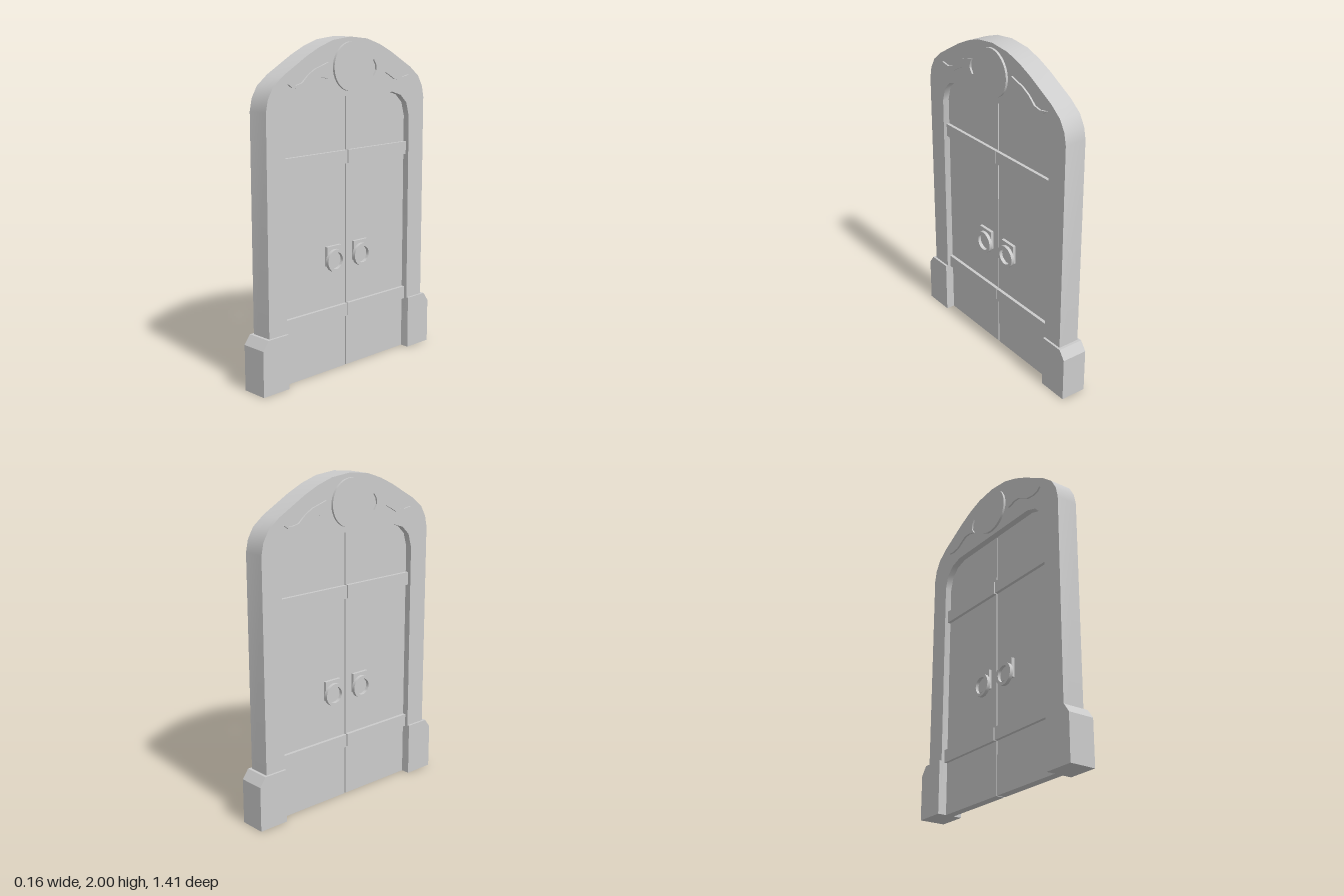
import * as THREE from 'three';
import { toCreasedNormals } from 'three/addons/utils/BufferGeometryUtils.js';

const material = new THREE.MeshStandardMaterial({ color: 0xcccccc });

// Half outlines as [z, y], from the bottom up to the crown
const OUTER = [[0.647, 0], [0.647, 1.61], [0.632, 1.68], [0.594, 1.745], [0.52, 1.803],
  [0.34, 1.905], [0.244, 1.95], [0.138, 1.985]];
const INNER = [[0.512, 0], [0.512, 1.5], [0.488, 1.585], [0.435, 1.636], [0.36, 1.66]];
const PLINTH = [[0.512, 0], [0.705, 0], [0.705, 0.275], [0.665, 0.33], [0.512, 0.33]];
const SCROLL = [[0.493, 1.756], [0.435, 1.746], [0.39, 1.756], [0.34, 1.8], [0.287, 1.83],
  [0.186, 1.862], [0.205, 1.83], [0.207, 1.8], [0.186, 1.767], [0.244, 1.783],
  [0.287, 1.781], [0.324, 1.762], [0.37, 1.736], [0.424, 1.729], [0.465, 1.735]];

const mirror = (pts) => pts.map(([z, y]) => [-z, y]).reverse();
const toShape = (pts) => new THREE.Shape(pts.map(([z, y]) => new THREE.Vector2(z, y)));

// Extrude a (z, y) shape along x, centred on x = cx
function slab(shape, thickness, cx = 0) {
  const g = new THREE.ExtrudeGeometry(shape, { depth: thickness, bevelEnabled: false, curveSegments: 16 });
  g.translate(0, 0, -thickness / 2);
  g.rotateY(-Math.PI / 2);
  g.translate(cx, 0, 0);
  return toCreasedNormals(g, 0.6);
}

function add(parent, name, geometry) {
  const mesh = new THREE.Mesh(geometry, material);
  mesh.name = name;
  parent.add(mesh);
  return mesh;
}

// Box given by its extents
function box(x0, x1, y0, y1, z0, z1) {
  const g = new THREE.BoxGeometry(x1 - x0, y1 - y0, z1 - z0);
  return g.translate((x0 + x1) / 2, (y0 + y1) / 2, (z0 + z1) / 2);
}

export function createModel() {
  const root = new THREE.Group();
  root.name = 'archedDoubleDoor';

  // Arched stone frame, open at the foot
  const arch = [...OUTER, [0, 2], ...mirror(OUTER), ...mirror(INNER).reverse(), ...[...INNER].reverse()];
  add(root, 'archFrame', slab(toShape(arch), 0.136));

  // Round medallion at the crown, raised on both faces
  const disc = new THREE.CylinderGeometry(0.143, 0.143, 0.164, 40);
  disc.rotateZ(Math.PI / 2).translate(0, 1.83, 0);
  add(root, 'medallion', disc);

  for (const side of [1, -1]) {
    const half = new THREE.Group();
    half.name = side > 0 ? 'leftHalf' : 'rightHalf';
    root.add(half);
    const flip = (pts) => (side > 0 ? pts : mirror(pts));
    const span = (z0, z1) => (side > 0 ? [z0, z1] : [-z1, -z0]);

    add(half, 'plinth', slab(toShape(flip(PLINTH)), 0.164));
    add(half, 'scrollOrnament', slab(toShape(flip(SCROLL)), 0.158));

    // Door leaf with a narrow gap at the centre
    const leaf = [[0.004, 0], ...INNER, [0.004, 1.66]];
    add(half, 'doorLeaf', slab(toShape(flip(leaf)), 0.054));

    // Horizontal straps
    for (const y of [0.32, 1.26]) {
      add(half, 'strap', box(-0.047, 0.047, y, y + 0.08, ...span(0.004, 0.512)));
    }

    // Handle plate and pull ring on each face
    for (const face of [1, -1]) {
      const xs = face > 0 ? [0.02, 0.046] : [-0.046, -0.02];
      add(half, 'handlePlate', box(...xs, 0.658, 0.777, ...span(0.054, 0.17)));
      const ring = new THREE.Shape().absarc(side * 0.111, 0.689, 0.069, 0, Math.PI * 2);
      ring.holes.push(new THREE.Path().absarc(side * 0.111, 0.689, 0.05, 0, Math.PI * 2));
      add(half, 'pullRing', slab(ring, 0.022, face * 0.055));
    }
  }
  return root;
}
